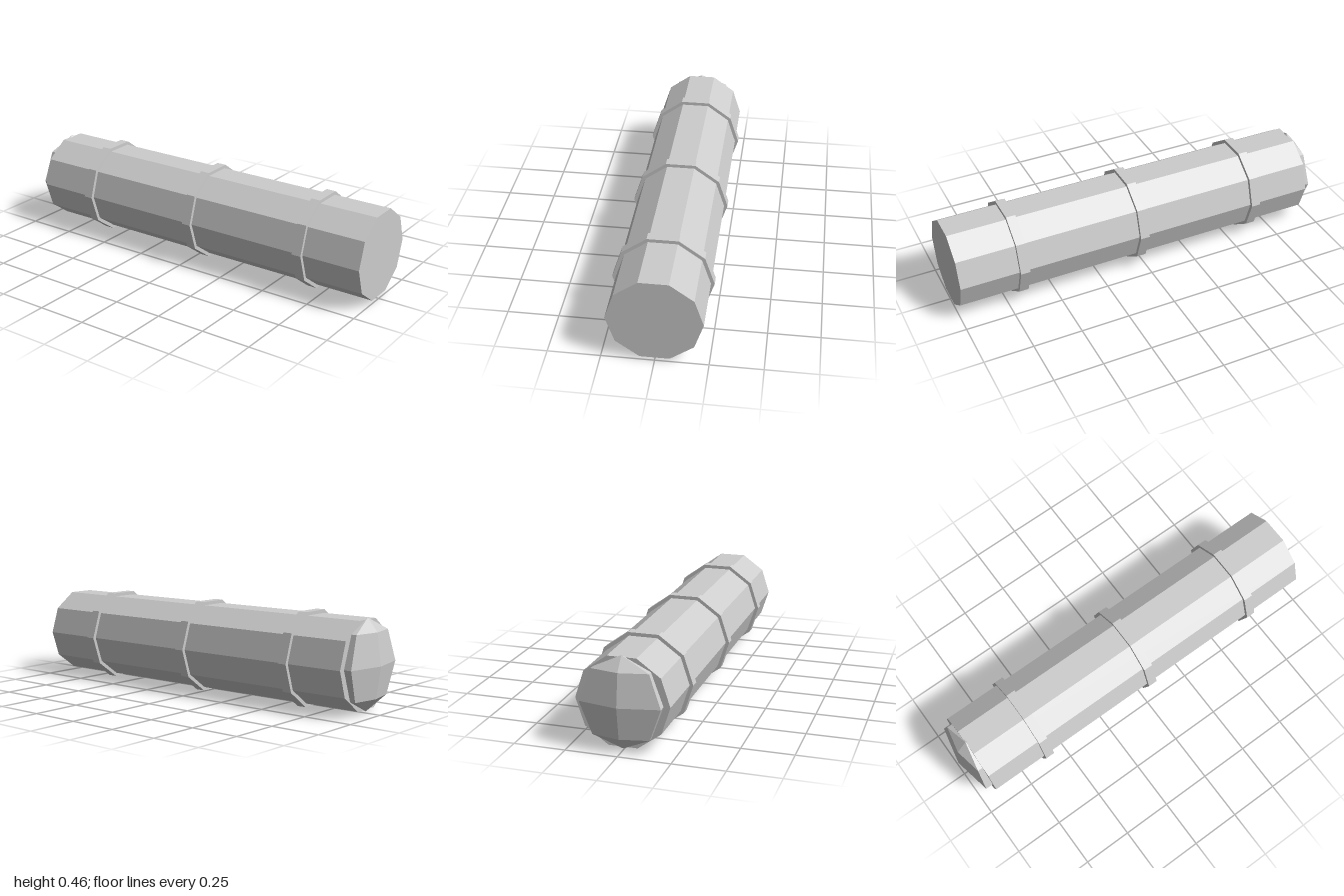
import * as THREE from 'three';

const AXIS_Y = 0.23; // height of the long axis

export function createModel() {
  const group = new THREE.Group();
  const grey = new THREE.MeshStandardMaterial({ color: 0xcccccc, flatShading: true });
  grey.name = 'grey';

  // Ten-sided prism lying along x between x0 and x1
  function prism(name, radius, x0, x1) {
    const geometry = new THREE.CylinderGeometry(radius, radius, x1 - x0, 10).rotateZ(-Math.PI / 2);
    const mesh = new THREE.Mesh(geometry, grey);
    mesh.position.set((x0 + x1) / 2, AXIS_Y, 0);
    mesh.name = name;
    group.add(mesh);
  }

  // Long barrel
  prism('barrel', 0.224, -0.923, 1);

  // Three raised bands
  [-0.608, 0.035, 0.677].forEach((x, i) => prism('band' + (i + 1), 0.2418, x - 0.024, x + 0.024));

  // Shallow faceted dome on the left end, its poles just breaking the barrel
  const dome = new THREE.Mesh(
    new THREE.SphereGeometry(1, 6, 4).scale(0.077, 0.222, 0.222), grey);
  dome.position.set(-0.923, AXIS_Y, 0);
  dome.name = 'endDome';
  group.add(dome);

  return group;
}
